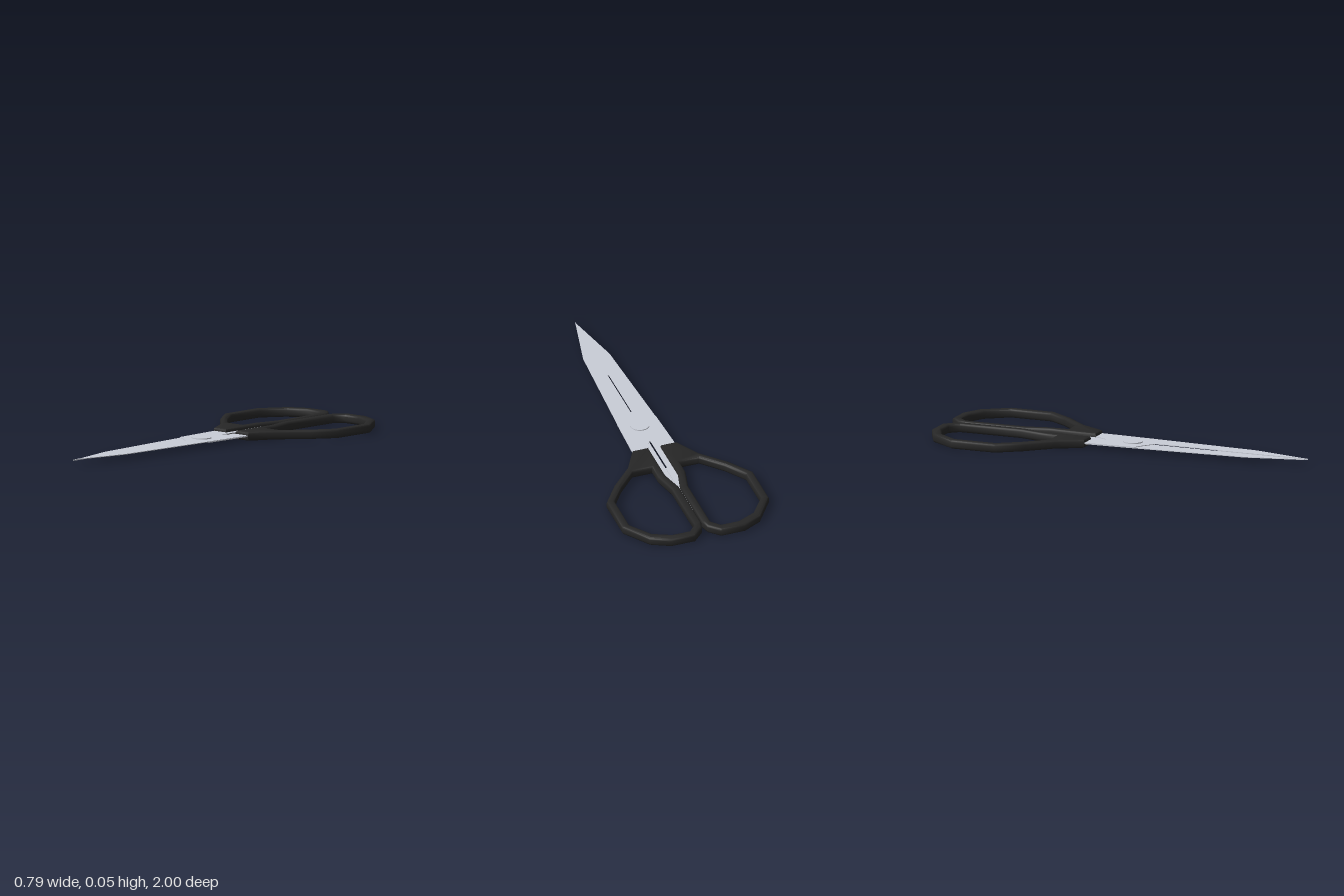
import * as THREE from 'three';
import { toCreasedNormals } from 'three/addons/utils/BufferGeometryUtils.js';

// Outlines are [x, z] pairs on the model's left side; side = -1 mirrors them.
const toPoints = (pts, side) => pts.map(([x, z]) => new THREE.Vector2(x * side, -z));

// Lays an extruded outline flat with its underside at height y.
function plate(name, outline, side, y, options, material, hole) {
  const shape = new THREE.Shape(toPoints(outline, side));
  if (hole) shape.holes.push(new THREE.Path(toPoints(hole, side)));
  const geometry = new THREE.ExtrudeGeometry(shape, options);
  geometry.rotateX(-Math.PI / 2);
  geometry.translate(0, y, 0);
  const mesh = new THREE.Mesh(toCreasedNormals(geometry, 0.85), material);
  mesh.name = name;
  return mesh;
}

export function createModel() {
  const steel = new THREE.MeshStandardMaterial({ name: 'steel', color: 0xc9cdd7 });
  const plastic = new THREE.MeshStandardMaterial({ name: 'black plastic', color: 0x262626 });
  const group = new THREE.Group();
  group.name = 'scissors';

  // Finger loop with its solid collar over the blade; the hole runs the other way round
  const loopOuter = [
    [0.07, -1], [0.2, -1], [0.3, -0.95], [0.397, -0.81], [0.397, -0.57], [0.31, -0.445],
    [0.192, -0.32], [0.12, -0.19], [0.033, -0.19], [0.033, -0.45], [0.002, -0.57],
    [0.002, -0.9], [0.015, -0.945],
  ];
  const loopHole = [
    [0.075, -0.45], [0.075, -0.362], [0.18, -0.362], [0.28, -0.47], [0.355, -0.58], [0.355, -0.8],
    [0.275, -0.91], [0.18, -0.954], [0.085, -0.954], [0.045, -0.91], [0.045, -0.575],
  ];
  const rounded = {
    depth: 0.022, bevelThickness: 0.012, bevelSize: 0.011, bevelOffset: -0.011, bevelSegments: 2,
  };

  // Blade: cutting half in front, full width at the pivot, narrow tang behind
  const blade = [
    [0, 1], [0.072, 0.68], [0.105, 0.08], [0.117, -0.2], [0.04, -0.2], [0.004, -0.12],
    [-0.004, -0.12], [-0.004, -0.37], [0.004, -0.37], [0.004, -0.57], [-0.005, -0.88], [-0.02, -0.88],
    [-0.02, -0.57], [-0.05, -0.45], [-0.05, -0.26], [-0.117, -0.2], [-0.105, 0.08],
    [-0.06, 0.105], [0.004, 0.155], [0.004, 0.5], [-0.004, 0.5], [-0.004, 0.72],
  ];
  const thin = { depth: 0.0035, bevelEnabled: false };

  for (const side of [1, -1]) {
    const label = side > 0 ? 'left' : 'right';
    group.add(plate(label + 'Handle', loopOuter, side, 0.012, rounded, plastic, loopHole));
    group.add(plate(label + 'Blade', blade, side, side > 0 ? 0.025 : 0.0213, thin, steel));
  }

  // Pivot rivet through both blades
  const rivet = new THREE.Mesh(new THREE.CylinderGeometry(0.051, 0.051, 0.016, 24), steel);
  rivet.name = 'rivet';
  rivet.position.set(0, 0.026, 0.03);
  group.add(rivet);

  return group;
}
